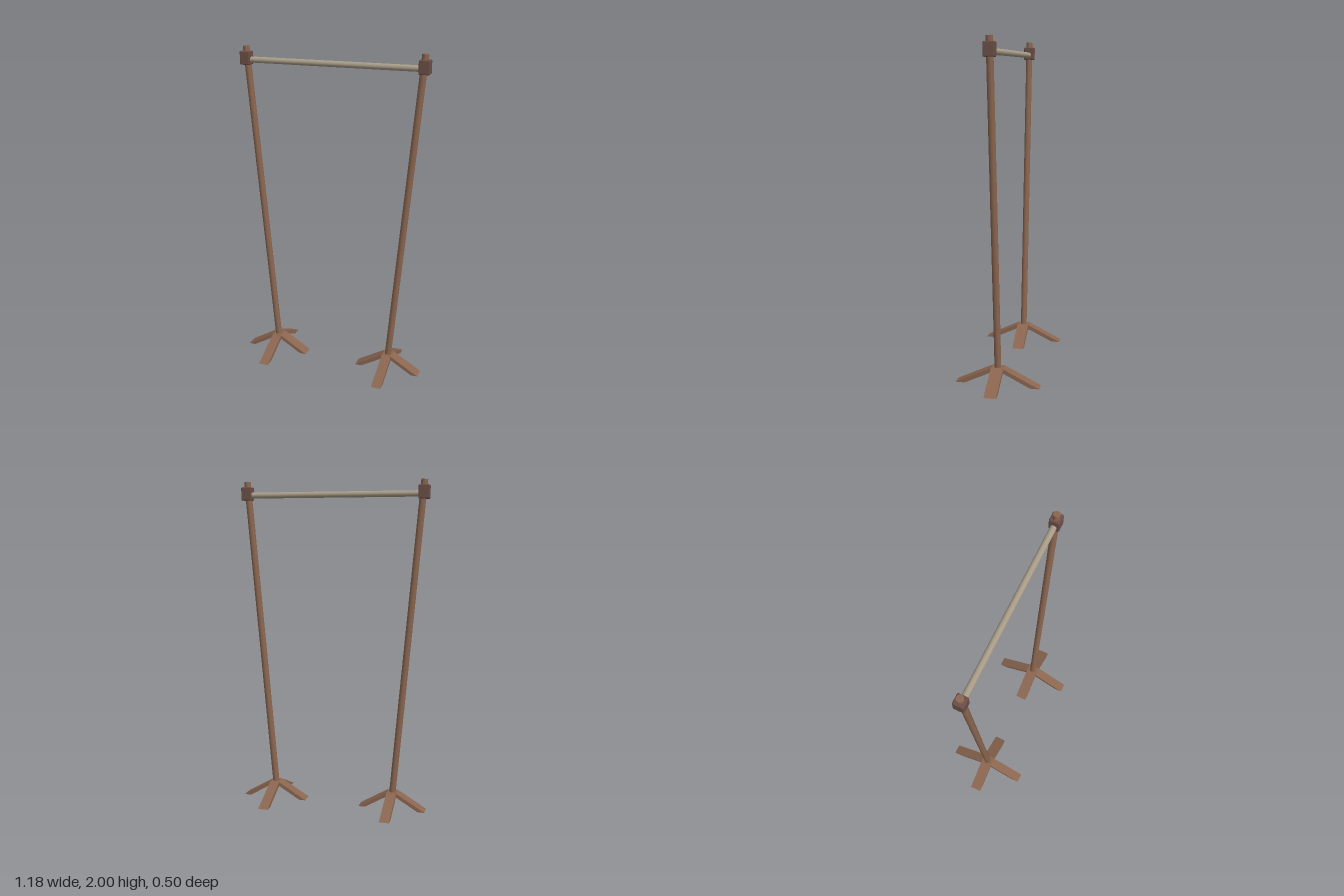
import * as THREE from 'three';
import { RoundedBoxGeometry } from 'three/addons/geometries/RoundedBoxGeometry.js';

const material = (name, color) => {
  const m = new THREE.MeshStandardMaterial({ color });
  m.name = name;
  return m;
};

export function createModel() {
  const wood = material('brown wood', 0x8b6650);
  const darkWood = material('dark brown', 0x6b4f47);
  const pale = material('pale bar', 0xa89c88);
  const model = new THREE.Group();

  const add = (parent, name, geometry, mat) => {
    const mesh = new THREE.Mesh(geometry, mat);
    mesh.name = name;
    parent.add(mesh);
    return mesh;
  };

  // Round rod between two points
  const rod = (parent, name, a, b, radius, mat) => {
    const dir = b.clone().sub(a);
    const mesh = add(parent, name, new THREE.CylinderGeometry(radius, radius, dir.length(), 16), mat);
    mesh.position.copy(a).add(b).multiplyScalar(0.5);
    mesh.quaternion.setFromUnitVectors(new THREE.Vector3(0, 1, 0), dir.normalize());
  };

  // Sloping pair of feet: a chevron cut flat along the ground
  const feet = (reach, flat, tip, width) => {
    const top = 0.105;
    const under = top * (reach - tip - flat) / (reach - flat);
    const shape = new THREE.Shape([
      [-reach, 0], [-reach + tip, 0], [-flat, under], [flat, under],
      [reach - tip, 0], [reach, 0], [flat, top], [-flat, top],
    ].map(([x, y]) => new THREE.Vector2(x, y)));
    return new THREE.ExtrudeGeometry(shape, { depth: width, bevelEnabled: false })
      .translate(0, 0, -width / 2);
  };

  for (const side of [-1, 1]) {
    const stand = new THREE.Group();
    stand.name = side > 0 ? 'leftStand' : 'rightStand';
    model.add(stand);

    // Crossed feet
    const sideFeet = add(stand, 'sideFeet', feet(0.207, 0.03, 0.042, 0.073), wood);
    sideFeet.position.x = side * 0.382;
    const frontBackFeet = add(stand, 'frontBackFeet', feet(0.252, 0.035, 0.055, 0.06), wood);
    frontBackFeet.position.x = side * 0.382;
    frontBackFeet.rotation.y = Math.PI / 2;

    // Outward leaning post and the collar near its top
    rod(stand, 'post', new THREE.Vector3(side * 0.382, 0.085, 0),
      new THREE.Vector3(side * 0.547, 1.998, 0), 0.02, wood);
    const collar = add(stand, 'collar', new RoundedBoxGeometry(0.063, 0.08, 0.062, 1, 0.006), darkWood);
    collar.position.set(side * 0.547, 1.927, 0);
  }

  // Crossbar between the collars
  rod(model, 'crossbar', new THREE.Vector3(-0.535, 1.917, 0),
    new THREE.Vector3(0.535, 1.917, 0), 0.018, pale);

  return model;
}
